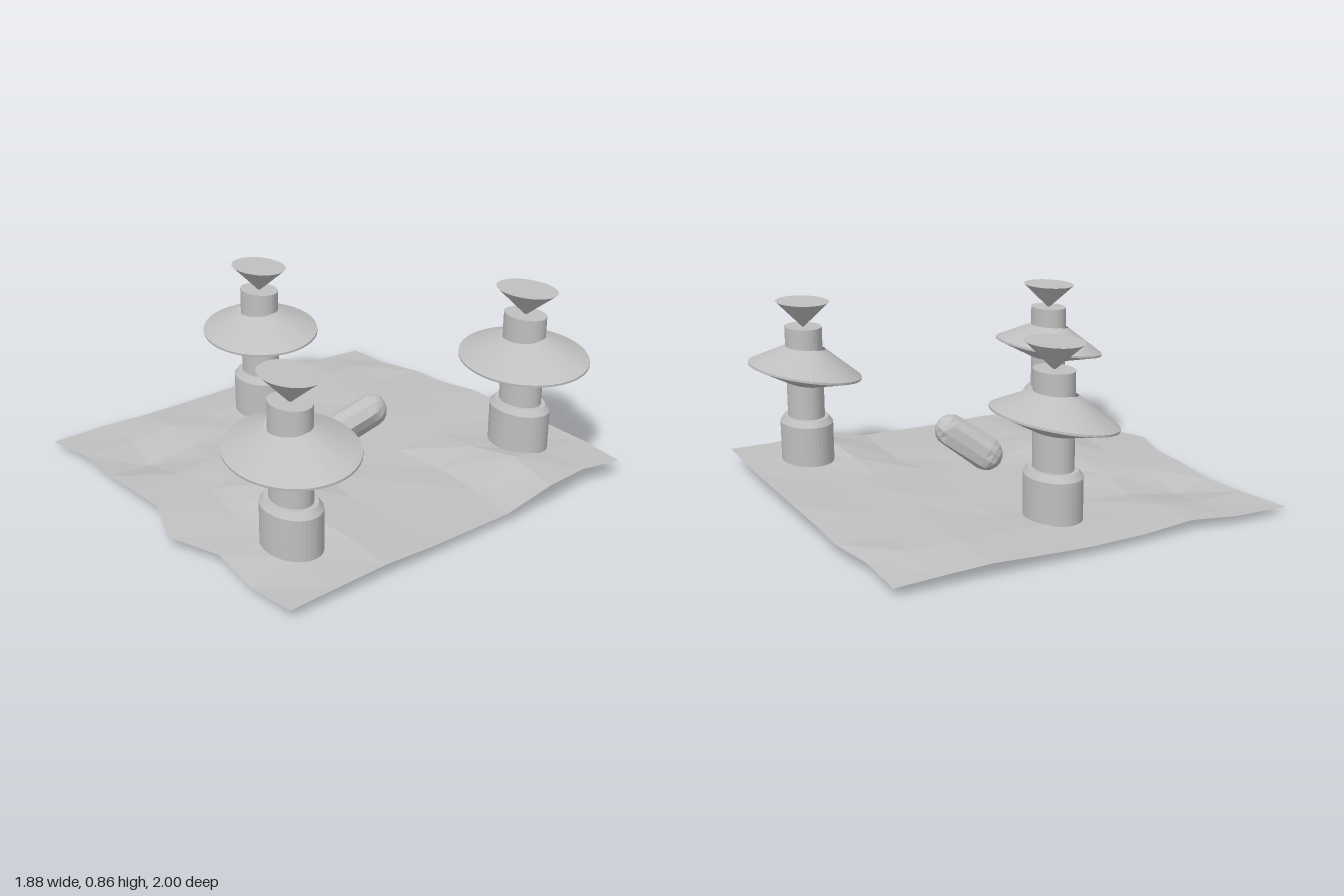
import * as THREE from 'three';

const stone = new THREE.MeshStandardMaterial({ color: 0xbfbfbf, flatShading: true, side: THREE.DoubleSide });
stone.name = 'grey stone';

function add(parent, name, geometry) {
  const mesh = new THREE.Mesh(geometry, stone);
  mesh.name = name;
  parent.add(mesh);
  return mesh;
}

// Lathe from [radius, height] pairs
const turned = (pts) => new THREE.LatheGeometry(pts.map(([r, y]) => new THREE.Vector2(r, y)), 40);

// Uneven sheet of ground; heights in hundredths, rows run back to front
function groundGeometry() {
  const heights = [
    [4, 5, 6, 7, 9, 9, 9, 9, 8],
    [5, 7, 6, 7, 8, 8, 9, 10, 9],
    [6, 8, 7, 7, 8, 8, 10, 13, 10],
    [5, 7, 6, 7, 7, 7, 6, 6, 5],
    [4, 6, 5, 7, 7, 7, 7, 6, 5],
    [4, 5, 5, 7, 7, 8, 7, 6, 5],
    [5, 6, 4, 7, 9, 13, 9, 7, 6],
    [4, 4, 0.3, 6, 7, 7, 6, 5, 5],
    [3.5, 4, 3, 5, 6, 5, 5, 2, 4],
  ];
  const xs = [-0.94, -0.7, -0.48, -0.25, -0.03, 0.21, 0.45, 0.68, 0.925];
  const zs = [-0.97, -0.75, -0.53, -0.28, -0.04, 0.2, 0.44, 0.67, 0.915];
  const backZ = [-0.935, -0.935, -0.98, -0.98, -1, -1, -1, -0.995, -0.98];
  const frontZ = [0.955, 0.91, 0.91, 0.91, 0.91, 1, 0.91, 0.92, 0.91];
  const leftX = [-0.94, -0.94, -0.945, -0.945, -0.94, -0.93, -0.91, -0.94, -0.94];
  const geo = new THREE.PlaneGeometry(2, 2, 8, 8);
  for (let j = 0; j < 9; j++) {
    for (let i = 0; i < 9; i++) {
      const z = j === 0 ? backZ[i] : j === 8 ? frontZ[i] : zs[j] + 0.025 * Math.sin(i * 2.1 + j * 1.3);
      const x = i === 0 ? leftX[j] : i === 8 ? xs[8] + (j === 1 ? -0.025 : 0.005) : xs[i] + 0.015 * Math.sin(i + j * 2.3);
      geo.attributes.position.setXYZ(j * 9 + i, x, heights[j][i] / 100, z);
    }
  }
  geo.computeVertexNormals();
  return geo;
}

// Oval lantern tower with a tilted brim and a funnel on top
function tower(x, z, lift) {
  const group = new THREE.Group();
  group.name = 'tower';
  group.position.set(x, lift, z);
  group.scale.x = 1.31;
  add(group, 'base', turned([[0, 0.06], [0.119, 0.06], [0.119, 0.247], [0.1, 0.275], [0, 0.275]]));
  add(group, 'shaft', turned([[0.083, 0.26], [0.083, 0.702], [0, 0.702]]));
  const brim = add(group, 'brim', turned([[0.08, -0.068], [0.255, -0.006], [0.255, 0.004], [0.083, 0.108]]));
  brim.position.y = 0.497;
  brim.rotation.x = 0.148;
  add(group, 'funnel', turned([[0.004, 0.7], [0.119, 0.82], [0, 0.82]]));
  return group;
}

// Craggy leaning boulder: a capsule with its corners pushed in and out
function boulder() {
  const low = new THREE.Vector3(0.015, 0.165, -0.03);
  const high = new THREE.Vector3(0.108, 0.272, -0.165);
  const axis = high.clone().sub(low);
  const geo = new THREE.CapsuleGeometry(0.078, axis.length(), 4, 10, 2);
  const p = geo.attributes.position;
  const v = new THREE.Vector3();
  for (let i = 0; i < p.count; i++) {
    v.fromBufferAttribute(p, i);
    const k = 1 + 0.09 * Math.sin(v.x * 70 + v.y * 35) * Math.cos(v.z * 60 - v.y * 28);
    p.setXYZ(i, v.x * k, v.y, v.z * k);
  }
  geo.computeVertexNormals();
  const group = new THREE.Group();
  group.name = 'boulder';
  const body = add(group, 'boulderBody', geo);
  body.position.copy(low).add(high).multiplyScalar(0.5);
  body.quaternion.setFromUnitVectors(new THREE.Vector3(0, 1, 0), axis.normalize());
  // Small chip sticking out of the side
  const chip = add(group, 'boulderChip', new THREE.ConeGeometry(0.035, 0.07, 4));
  chip.position.set(0.165, 0.275, -0.15);
  chip.rotation.z = -0.9;
  return group;
}

export function createModel() {
  const model = new THREE.Group();
  model.name = 'rockGarden';
  add(model, 'ground', groundGeometry());
  for (const [x, z, lift] of [[-0.592, -0.035, 0], [0.58, 0.642, 0.009], [0.533, -0.72, 0.046]]) {
    model.add(tower(x, z, lift));
  }
  model.add(boulder());
  return model;
}
